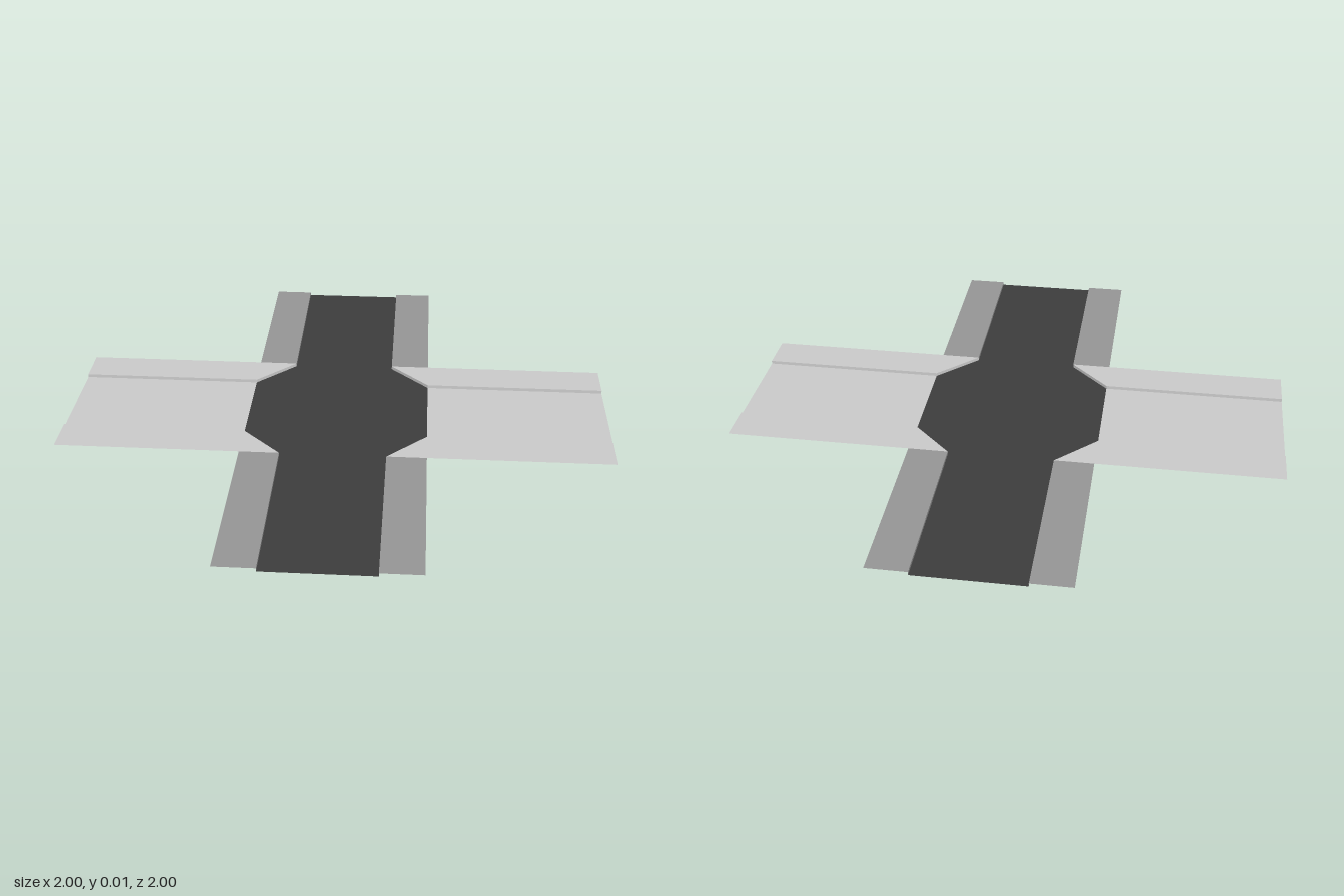
import * as THREE from 'three';

const ROAD = 0.19;   // half width of the roadway
const EDGE = 0.333;  // outer edge of the pavements
const KERB = 0.012;  // kerb height

const material = (color) =>
  new THREE.MeshStandardMaterial({ color, side: THREE.DoubleSide, flatShading: true });

// Flat convex panels, each a list of [x, y, z] corners, merged into one mesh
function panels(name, mat, ...polygons) {
  const positions = [];
  for (const p of polygons) {
    for (let i = 1; i < p.length - 1; i++) positions.push(...p[0], ...p[i], ...p[i + 1]);
  }
  const geometry = new THREE.BufferGeometry();
  geometry.setAttribute('position', new THREE.Float32BufferAttribute(positions, 3));
  geometry.computeVertexNormals();
  const mesh = new THREE.Mesh(geometry, mat);
  mesh.name = name;
  return mesh;
}

// One arm running from the junction towards +z
function createArm(name, roadMat, pavementMat) {
  const arm = new THREE.Group();
  arm.name = name;
  arm.add(panels('roadway', roadMat,
    [[-ROAD, 0, 1], [ROAD, 0, 1], [ROAD, 0, EDGE], [-ROAD, 0, EDGE]]));
  for (const side of [1, -1]) {
    const r = side * ROAD, e = side * EDGE;
    const top = [[r, KERB, 1], [e, KERB, 1], [e, KERB, EDGE], [r, KERB, EDGE]];
    const kerb = [[r, 0, 1], [r, KERB, 1], [r, KERB, EDGE], [r, 0, EDGE]];
    if (side < 0) { top.reverse(); kerb.reverse(); }
    arm.add(panels(side > 0 ? 'leftPavement' : 'rightPavement', pavementMat, top, kerb));
  }
  return arm;
}

export function createModel() {
  const model = new THREE.Group();
  model.name = 'crossroads';
  const asphalt = material(0x3d3d3d);
  const pavement = material(0x979797);
  const pale = material(0xcccccc);

  // Octagonal centre of the junction
  model.add(panels('junction', asphalt, [
    [-ROAD, 0, EDGE], [ROAD, 0, EDGE], [EDGE, 0, ROAD], [EDGE, 0, -ROAD],
    [ROAD, 0, -EDGE], [-ROAD, 0, -EDGE], [-EDGE, 0, -ROAD], [-EDGE, 0, ROAD],
  ]));

  for (let i = 0; i < 4; i++) {
    // Dark main road along z, pale side road along x
    const arm = i % 2 === 0
      ? createArm('mainRoadArm', asphalt, pavement)
      : createArm('sideRoadArm', pale, pale);
    arm.rotation.y = i * Math.PI / 2;
    model.add(arm);

    // Triangular pavement corner with its diagonal kerb
    const corner = panels('pavementCorner', pale,
      [[ROAD, KERB, EDGE], [EDGE, KERB, EDGE], [EDGE, KERB, ROAD]],
      [[ROAD, 0, EDGE], [ROAD, KERB, EDGE], [EDGE, KERB, ROAD], [EDGE, 0, ROAD]]);
    corner.rotation.y = i * Math.PI / 2;
    model.add(corner);
  }
  return model;
}
